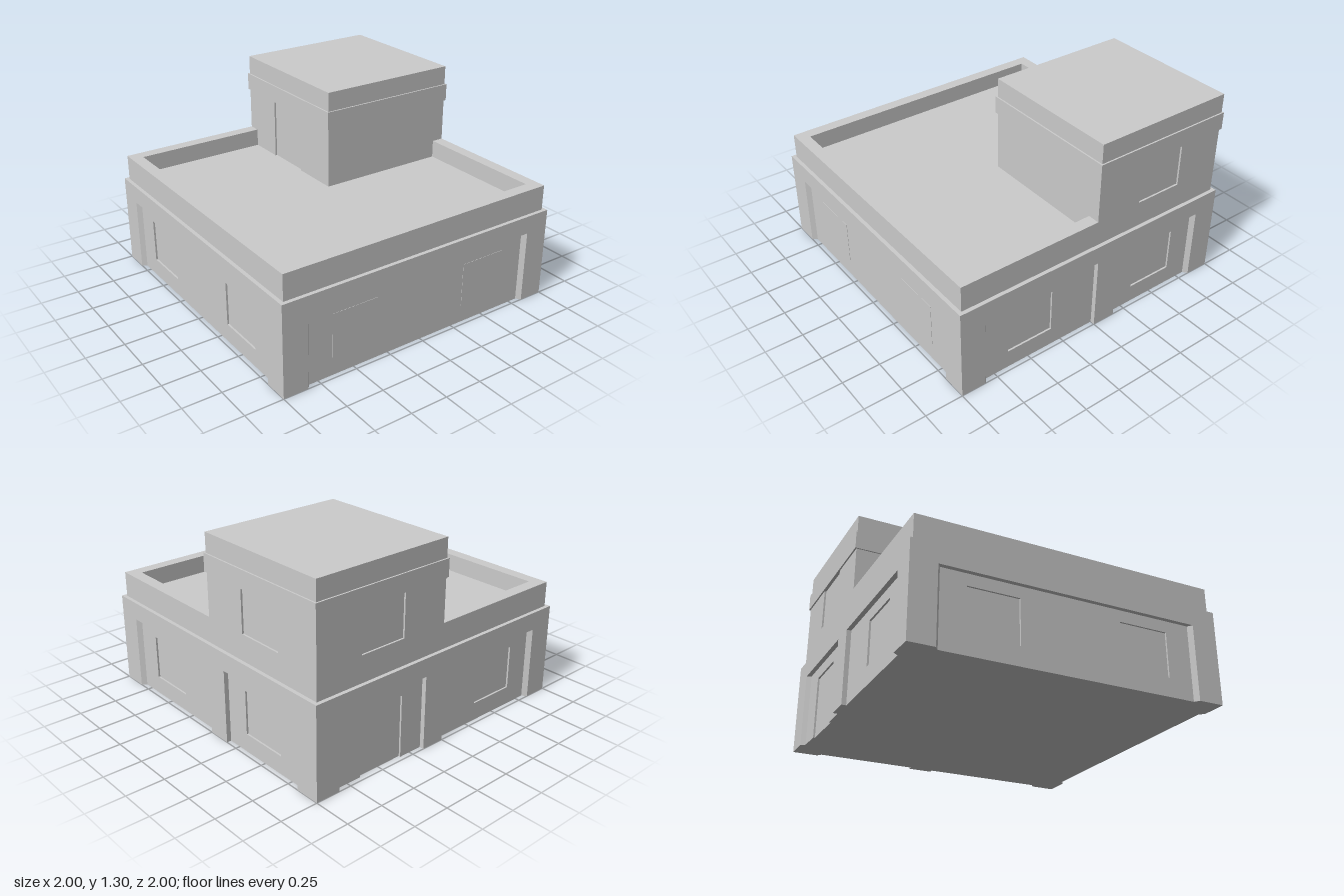
import * as THREE from 'three';

const H = 0.605;        // ground floor height
const REVEAL = 0.03;    // depth of the wide recesses
const INSET = 0.012;    // depth of window and door recesses
const HEAD = 0.485;     // top of the wide recesses
const EDGE = 0.835;     // outer end of the wide recesses

const material = new THREE.MeshStandardMaterial({ color: 0xcccccc, flatShading: true });

function add(parent, name, geometry) {
  const mesh = new THREE.Mesh(geometry, material);
  mesh.name = name;
  parent.add(mesh);
  return mesh;
}

// Box given by its limits on each axis
function block(parent, name, [x0, x1], [y0, y1], [z0, z1]) {
  const mesh = add(parent, name, new THREE.BoxGeometry(x1 - x0, y1 - y0, z1 - z0));
  mesh.position.set((x0 + x1) / 2, (y0 + y1) / 2, (z0 + z1) / 2);
}

// Upright slab with notches rising from its foot [u0, u1, top] and holes [u0, u1, y0, y1]
function wall(parent, name, [u0, u1], [y0, y1], notches, holes, z, depth) {
  const shape = new THREE.Shape();
  shape.moveTo(u0, y0);
  for (const [a, b, top] of notches) {
    shape.lineTo(a, y0);
    shape.lineTo(a, top);
    shape.lineTo(b, top);
    shape.lineTo(b, y0);
  }
  shape.lineTo(u1, y0);
  shape.lineTo(u1, y1);
  shape.lineTo(u0, y1);
  for (const [a, b, c, d] of holes) {
    const hole = new THREE.Path();
    hole.moveTo(a, c);
    hole.lineTo(a, d);
    hole.lineTo(b, d);
    hole.lineTo(b, c);
    hole.closePath();
    shape.holes.push(hole);
  }
  const geometry = new THREE.ExtrudeGeometry(shape, { depth, bevelEnabled: false });
  add(parent, name, geometry).position.z = z - depth;
}

// Slanted jamb at the outer end of a recess
function jamb(parent, side) {
  const shape = new THREE.Shape();
  shape.moveTo(side * EDGE, -1);
  shape.lineTo(side * (EDGE - 0.022), -1 + REVEAL);
  shape.lineTo(side * EDGE, -1 + REVEAL);
  const geometry = new THREE.ExtrudeGeometry(shape, { depth: HEAD, bevelEnabled: false });
  geometry.rotateX(-Math.PI / 2);
  add(parent, 'slantedJamb', geometry);
}

// Group turned so that its +z is the outward side
function turned(parent, name, angle) {
  const group = new THREE.Group();
  group.name = name;
  group.rotation.y = angle;
  parent.add(group);
  return group;
}

export function createModel() {
  const model = new THREE.Group();
  model.name = 'building';

  const leftWindow = [-0.652, -0.327, 0.12, 0.41];
  const rightWindow = [0.327, 0.652, 0.12, 0.41];
  const full = [[-EDGE, EDGE, HEAD]];

  // Ground floor core
  const core = 1 - REVEAL - INSET;
  block(model, 'groundFloorCore', [-core, core], [0, H], [-core, core]);

  // Four facades: outer frame with recesses, then a panel with openings
  const facades = [
    { name: 'frontFacade', angle: 0, bays: full, doors: [], windows: [] },
    { name: 'rightFacade', angle: Math.PI / 2, bays: [[-EDGE, 0, HEAD], [0.16, EDGE, HEAD]],
      doors: [], windows: [leftWindow, rightWindow] },
    { name: 'backFacade', angle: Math.PI, bays: [[-EDGE, -0.16, HEAD], [0, EDGE, HEAD]],
      doors: [[-0.652, -0.327, 0.41]], windows: [rightWindow] },
    { name: 'leftFacade', angle: -Math.PI / 2, bays: full, doors: [], windows: [leftWindow, rightWindow] },
  ];
  facades.forEach(({ name, angle, bays, doors, windows }, i) => {
    const facade = turned(model, name, angle);
    const trim = i % 2 ? REVEAL : 0;
    wall(facade, 'outerFrame', [-1 + trim, 1 - trim], [0, H], bays, [], 1, REVEAL);
    const half = i % 2 ? core : 1 - REVEAL;
    wall(facade, 'recessedPanel', [-half, half], [0, H], doors, windows, 1 - REVEAL, INSET);
    for (const side of [-1, 1]) jamb(facade, side);
    // Front windows lie almost flush with their panel
    if (i === 0) {
      for (const [a, b, c, d] of [leftWindow, rightWindow]) {
        block(facade, 'flushWindow', [a, b], [c, d], [0.965, 0.972]);
      }
    }
  });

  // Flat roof and its parapet, which stops at the tower
  const out = 0.975, inner = 0.895, top = 0.773;
  block(model, 'roofDeck', [-inner, inner], [H - 0.01, 0.655], [-inner, inner]);
  block(model, 'leftParapet', [-out, -inner], [H, top], [-out, out]);
  block(model, 'frontParapet', [-inner, out], [H, top], [inner, out]);
  block(model, 'backParapet', [-inner, 0], [H, top], [-out, -inner]);
  block(model, 'rightParapet', [inner, out], [H, top], [0, inner]);

  // Corner tower
  const tower = new THREE.Group();
  tower.name = 'tower';
  model.add(tower);
  const roof = 1.303, cut = out - INSET;
  block(tower, 'towerCore', [INSET, cut], [H, roof], [-cut, 0]);
  const upper = [0.327, 0.652, 0.775, 1.06];
  wall(turned(tower, 'towerRightSide', Math.PI / 2), 'towerRightWall',
    [0, cut], [H, roof], [], [upper], out, INSET);
  wall(turned(tower, 'towerBackSide', Math.PI), 'towerBackWall',
    [-out, 0], [H, roof], [], [[-0.652, -0.327, 0.775, 1.06]], out, INSET);
  wall(turned(tower, 'towerLeftSide', -Math.PI / 2), 'towerRoofDoorWall',
    [-cut, 0], [H, roof], [], [[-0.652, -0.327, 0.655, 1.06]], 0, INSET);

  // Band around the tower
  block(tower, 'towerBand', [-0.01, 0.985], [1.06, 1.176], [-0.985, 0.01]);

  return model;
}
